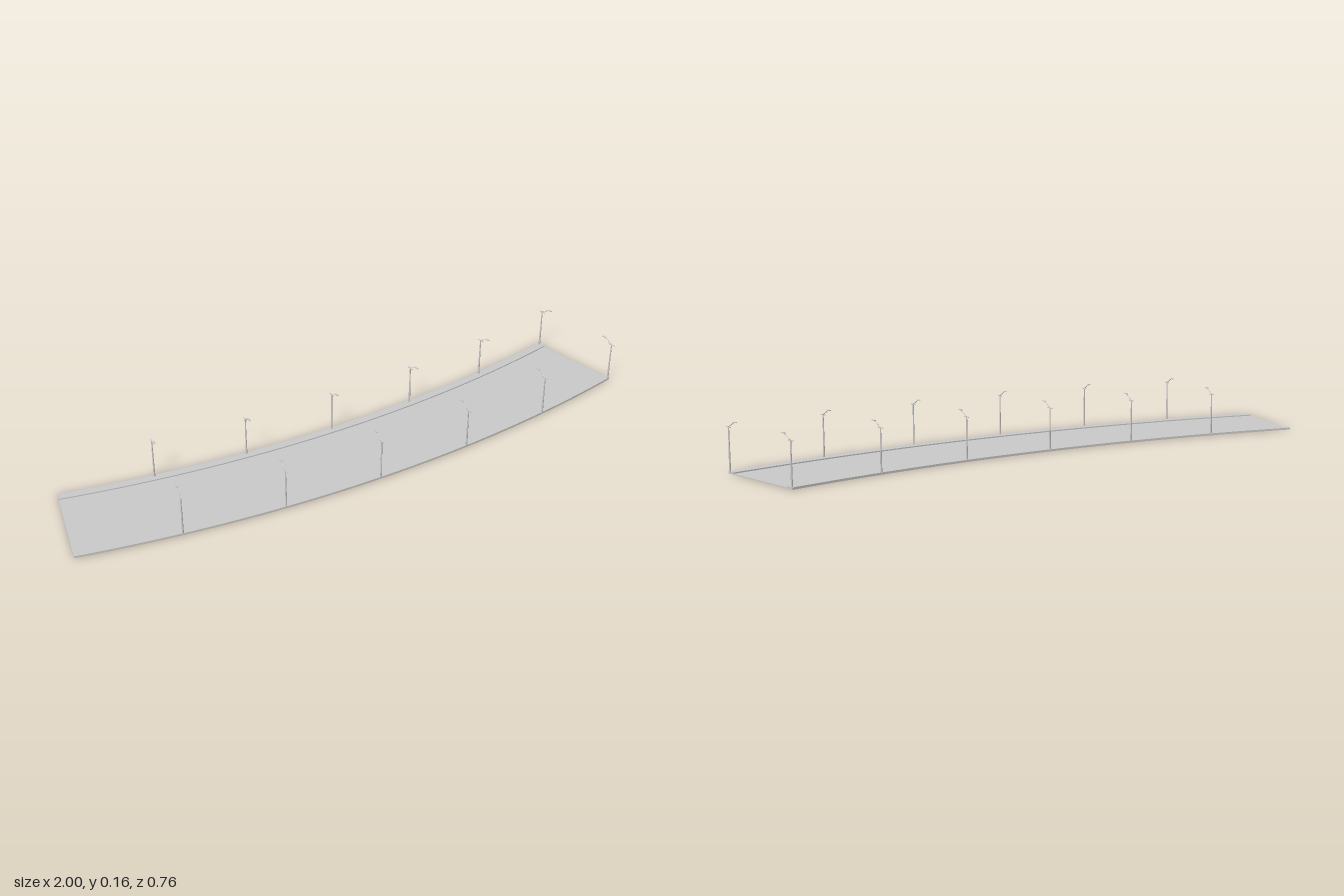
import * as THREE from 'three';

const SWEEP = THREE.MathUtils.degToRad(25.08); // angle covered by the bend
const CX = 1, CZ = -4.354;                     // centre of the bend
const R_IN = 4.387, R_OUT = 4.72, WALK = 0.028;
const LAMPS = 6;

const material = new THREE.MeshStandardMaterial({ color: 0xcccccc });

function addMesh(parent, name, geometry, x = 0, y = 0, z = 0) {
  const mesh = new THREE.Mesh(geometry, material);
  mesh.name = name;
  mesh.position.set(x, y, z);
  parent.add(mesh);
  return mesh;
}

// Curved slab between two radii, standing on y = 0
function curvedSlab(inner, outer, height) {
  const start = -Math.PI / 2, end = start - SWEEP;
  const shape = new THREE.Shape();
  shape.absarc(CX, -CZ, outer, start, end, true);
  shape.absarc(CX, -CZ, inner, end, start, false);
  const geometry = new THREE.ExtrudeGeometry(shape, { depth: height, bevelEnabled: false, curveSegments: 48 });
  return geometry.rotateX(-Math.PI / 2);
}

// Street lamp whose arm reaches along local +z
function createLamp() {
  const lamp = new THREE.Group();
  addMesh(lamp, 'pole', new THREE.CylinderGeometry(0.0018, 0.0032, 0.145, 8), 0, 0.0725, 0);
  addMesh(lamp, 'crossbar', new THREE.BoxGeometry(0.0025, 0.0025, 0.026), 0, 0.144, 0);

  const from = new THREE.Vector3(0, 0.145, 0), to = new THREE.Vector3(0, 0.162, 0.031);
  addMesh(lamp, 'arm', new THREE.TubeGeometry(new THREE.LineCurve3(from, to), 1, 0.0012, 6));
  addMesh(lamp, 'lampHead', new THREE.BoxGeometry(0.005, 0.0025, 0.015), 0, 0.1625, 0.0355);
  return lamp;
}

export function createModel() {
  const model = new THREE.Group();
  model.name = 'curvedRoad';

  // Roadway with a raised pavement on each side
  addMesh(model, 'roadway', curvedSlab(R_IN + WALK, R_OUT - WALK, 0.003));
  addMesh(model, 'innerPavement', curvedSlab(R_IN, R_IN + WALK, 0.007));
  addMesh(model, 'outerPavement', curvedSlab(R_OUT - WALK, R_OUT, 0.007));

  // Lamps in pairs along both edges, arms over the road
  for (let i = 0; i < LAMPS; i++) {
    const a = (SWEEP * i) / LAMPS + 0.0008;
    for (const outer of [true, false]) {
      const r = outer ? R_OUT - 0.003 : R_IN + 0.007;
      const lamp = createLamp();
      lamp.name = (outer ? 'outerLamp' : 'innerLamp') + (i + 1);
      lamp.position.set(CX - r * Math.sin(a), 0, CZ + r * Math.cos(a));
      lamp.rotation.y = outer ? Math.PI - a : -a;
      model.add(lamp);
    }
  }
  return model;
}
